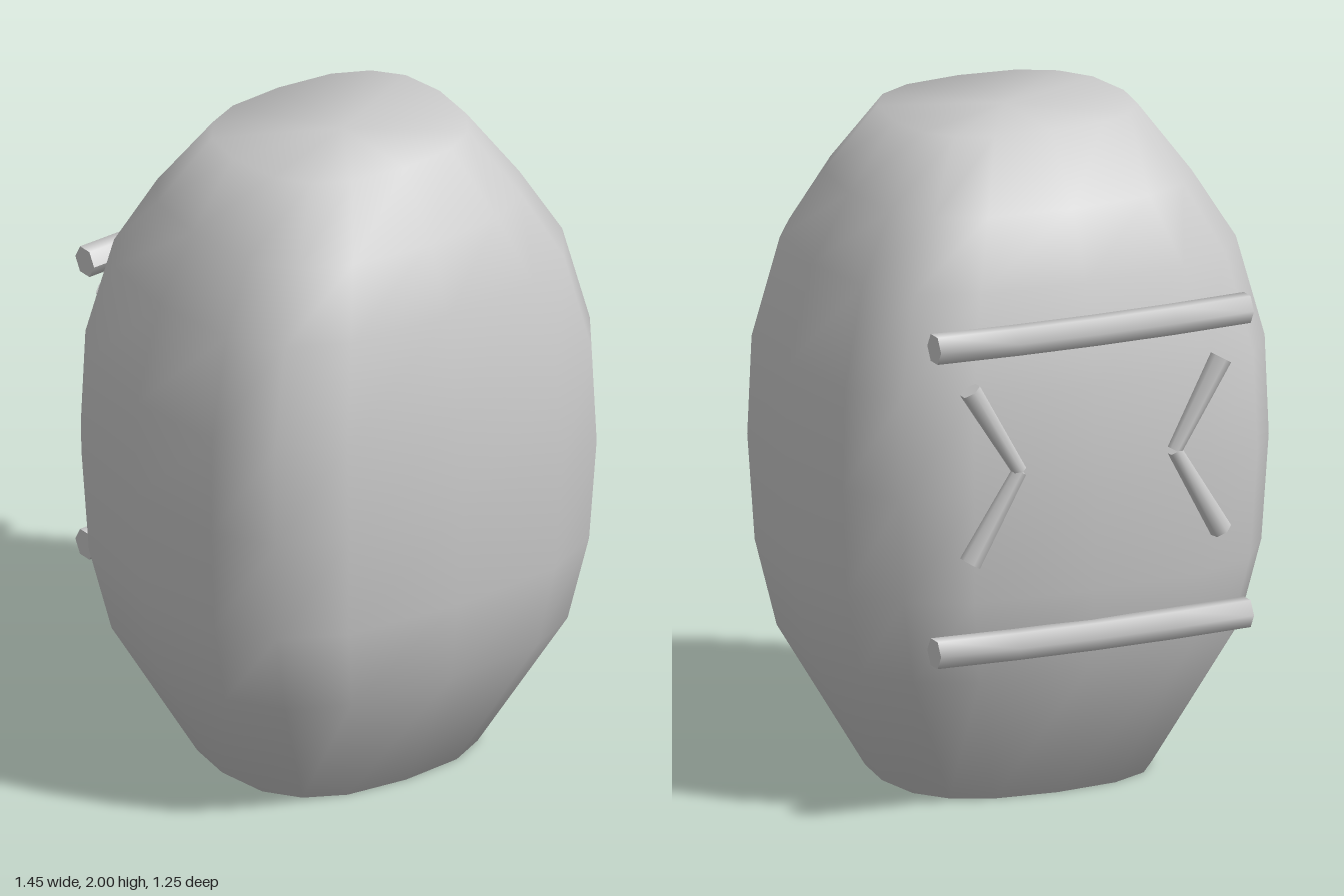
import * as THREE from 'three';

const material = new THREE.MeshStandardMaterial({ color: 0xcccccc });

// Rounded-square barrel lofted from rings: [y, half width, front z, back z, roundness exponent]
function bodyGeometry() {
  const rings = [
    [0, 0.41, 0.35, -0.33, 2.6],
    [0.42, 0.645, 0.57, -0.53, 2.9],
    [0.68, 0.705, 0.61, -0.58, 3],
    [1.0, 0.725, 0.63, -0.6, 3],
    [1.3, 0.715, 0.612, -0.585, 3],
    [1.6, 0.637, 0.56, -0.525, 2.9],
    [1.8, 0.515, 0.47, -0.43, 2.8],
    [2, 0.37, 0.345, -0.29, 2.6],
  ];
  const sides = 16, positions = [], index = [];
  const power = (v, n) => Math.sign(v) * Math.abs(v) ** (2 / n);
  for (const [y, w, front, back, n] of rings) {
    for (let i = 0; i < sides; i++) {
      const t = (i / sides) * Math.PI * 2;
      const s = power(Math.sin(t), n);
      positions.push(w * power(Math.cos(t), n), y, s > 0 ? s * front : -s * back);
    }
  }
  for (let r = 0; r < rings.length - 1; r++) {
    for (let i = 0; i < sides; i++) {
      const a = r * sides + i, b = r * sides + (i + 1) % sides;
      index.push(a, a + sides, b, b, a + sides, b + sides);
    }
  }
  // Flat caps share the ring vertices so the shading rolls over the rim
  const bottom = positions.length / 3, top = bottom + 1;
  const last = (rings.length - 1) * sides;
  positions.push(0, 0, 0, 0, 2, 0.03);
  for (let i = 0; i < sides; i++) {
    const j = (i + 1) % sides;
    index.push(bottom, i, j, top, last + j, last + i);
  }
  const g = new THREE.BufferGeometry();
  g.setAttribute('position', new THREE.Float32BufferAttribute(positions, 3));
  g.setIndex(index);
  g.computeVertexNormals();
  return g;
}

// Six-sided bar bowed outward to follow the back
function barGeometry() {
  const g = new THREE.CylinderGeometry(0.047, 0.047, 1.01, 6, 4);
  g.rotateZ(Math.PI / 2);
  const p = g.attributes.position;
  for (let i = 0; i < p.count; i++) {
    const x = p.getX(i) / 0.505;
    p.setZ(i, p.getZ(i) - 0.577 + 0.022 * x * x);
  }
  g.computeVertexNormals();
  return g;
}

// Tapered stroke between two points, thin at the start
function stroke(from, to) {
  const dir = to.clone().sub(from);
  const g = new THREE.CylinderGeometry(0.033, 0.022, dir.length(), 6);
  const mesh = new THREE.Mesh(g, material);
  mesh.position.copy(from).add(to).multiplyScalar(0.5);
  mesh.quaternion.setFromUnitVectors(new THREE.Vector3(0, 1, 0), dir.normalize());
  return mesh;
}

export function createModel() {
  const model = new THREE.Group();
  model.name = 'model';

  const body = new THREE.Mesh(bodyGeometry(), material);
  body.name = 'body';
  model.add(body);

  // Horizontal bars on the back
  for (const [name, y] of [['upperBar', 1.47], ['lowerBar', 0.545]]) {
    const bar = new THREE.Mesh(barGeometry(), material);
    bar.name = name;
    bar.position.y = y;
    model.add(bar);
  }

  // Chevrons between the bars, points facing the middle
  for (const side of [1, -1]) {
    const chevron = new THREE.Group();
    chevron.name = side > 0 ? 'leftChevron' : 'rightChevron';
    const apex = new THREE.Vector3(side * 0.25, 1.08, -0.598);
    for (const [name, y] of [['upperStroke', 1.34], ['lowerStroke', 0.815]]) {
      const arm = stroke(apex, new THREE.Vector3(side * 0.405, y, -0.588));
      arm.name = name;
      chevron.add(arm);
    }
    model.add(chevron);
  }
  return model;
}
